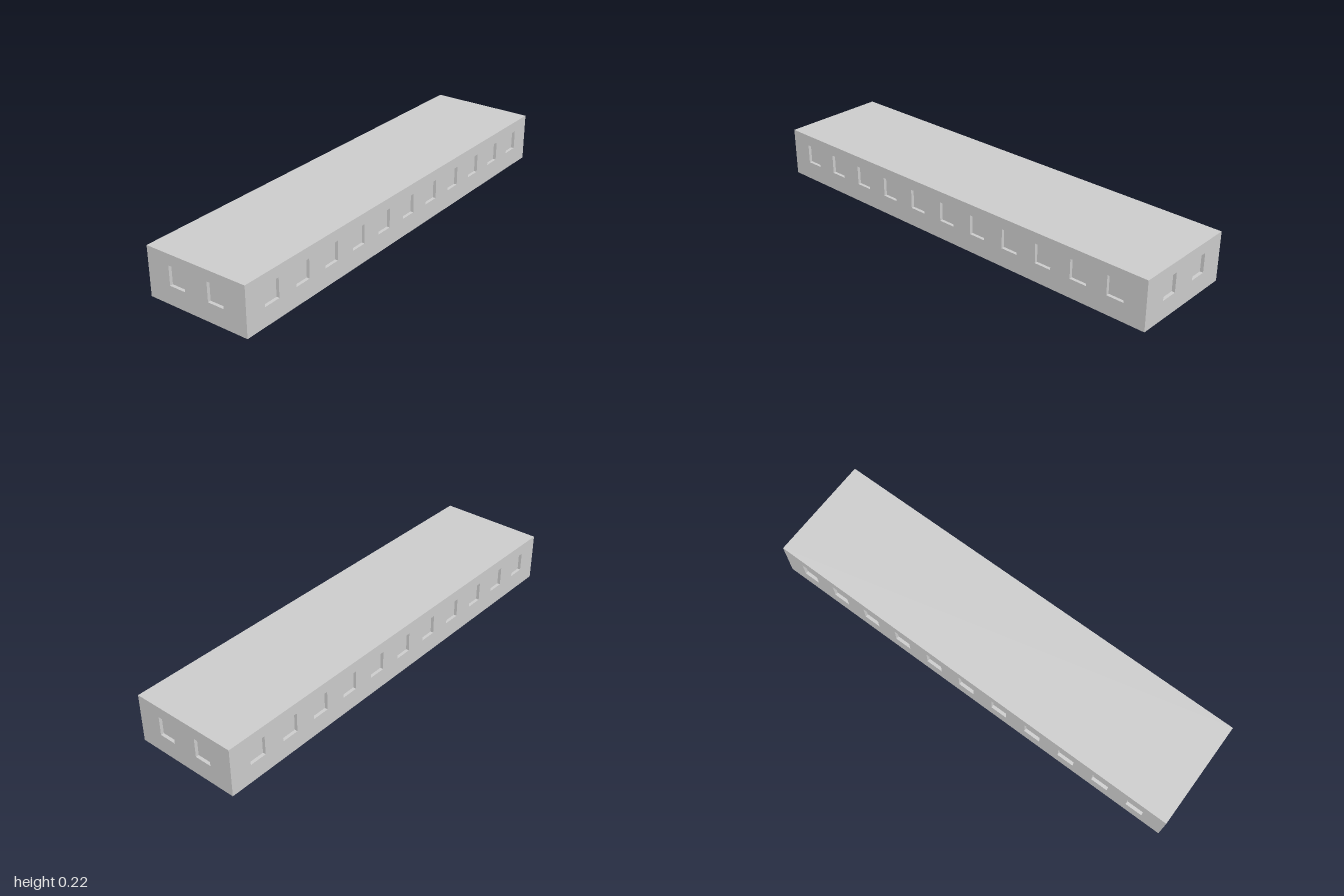
import * as THREE from 'three';
import { mergeGeometries } from 'three/addons/utils/BufferGeometryUtils.js';

const LENGTH = 1.983, WIDTH = 0.485, HEIGHT = 0.218, TURN = 0.442;
const WINDOW = { w: 0.077, h: 0.086, y: 0.126, depth: 0.014 };

const material = new THREE.MeshStandardMaterial({
  color: 0xcccccc, flatShading: true, side: THREE.DoubleSide,
});

// Shallow box without its outward face: reveals plus pane
function windowRecess(x) {
  const g = new THREE.BoxGeometry(WINDOW.w, WINDOW.h, WINDOW.depth);
  const index = Array.from(g.index.array);
  index.splice(24, 6); // the +z face
  g.setIndex(index);
  g.clearGroups();
  return g.translate(x, WINDOW.y, -WINDOW.depth / 2);
}

// Wall in the xy plane facing +z, with evenly spaced recessed windows
function makeWall(name, length, count, spacing) {
  const wall = new THREE.Group();
  wall.name = name;
  const shape = new THREE.Shape([
    new THREE.Vector2(-length / 2, 0), new THREE.Vector2(length / 2, 0),
    new THREE.Vector2(length / 2, HEIGHT), new THREE.Vector2(-length / 2, HEIGHT),
  ]);
  const recesses = [];
  for (let i = 0; i < count; i++) {
    const x = (i - (count - 1) / 2) * spacing;
    const a = x - WINDOW.w / 2, b = x + WINDOW.w / 2;
    const lo = WINDOW.y - WINDOW.h / 2, hi = WINDOW.y + WINDOW.h / 2;
    shape.holes.push(new THREE.Path([
      new THREE.Vector2(a, lo), new THREE.Vector2(a, hi),
      new THREE.Vector2(b, hi), new THREE.Vector2(b, lo),
    ]));
    recesses.push(windowRecess(x));
  }
  const face = new THREE.Mesh(new THREE.ShapeGeometry(shape), material);
  face.name = 'wallFace';
  const windows = new THREE.Mesh(mergeGeometries(recesses), material);
  windows.name = 'windows';
  wall.add(face, windows);
  return wall;
}

export function createModel() {
  const model = new THREE.Group();
  model.name = 'longBuilding';
  const building = new THREE.Group();
  building.name = 'building';
  building.rotation.y = TURN;
  model.add(building);

  // Long walls and end walls, turned to face outward
  for (const [i, side] of ['front', 'left', 'back', 'right'].entries()) {
    const long = i % 2 === 0;
    const wall = long
      ? makeWall(side + 'Wall', LENGTH, 11, 0.171)
      : makeWall(side + 'EndWall', WIDTH, 2, 0.192);
    const angle = i * Math.PI / 2;
    const offset = (long ? WIDTH : LENGTH) / 2;
    wall.rotation.y = angle;
    wall.position.set(Math.sin(angle) * offset, 0, Math.cos(angle) * offset);
    building.add(wall);
  }

  // Flat roof; the underside of the building stays open
  const roof = new THREE.Mesh(new THREE.PlaneGeometry(LENGTH, WIDTH), material);
  roof.name = 'roof';
  roof.rotation.x = -Math.PI / 2;
  roof.position.y = HEIGHT;
  building.add(roof);

  return model;
}
